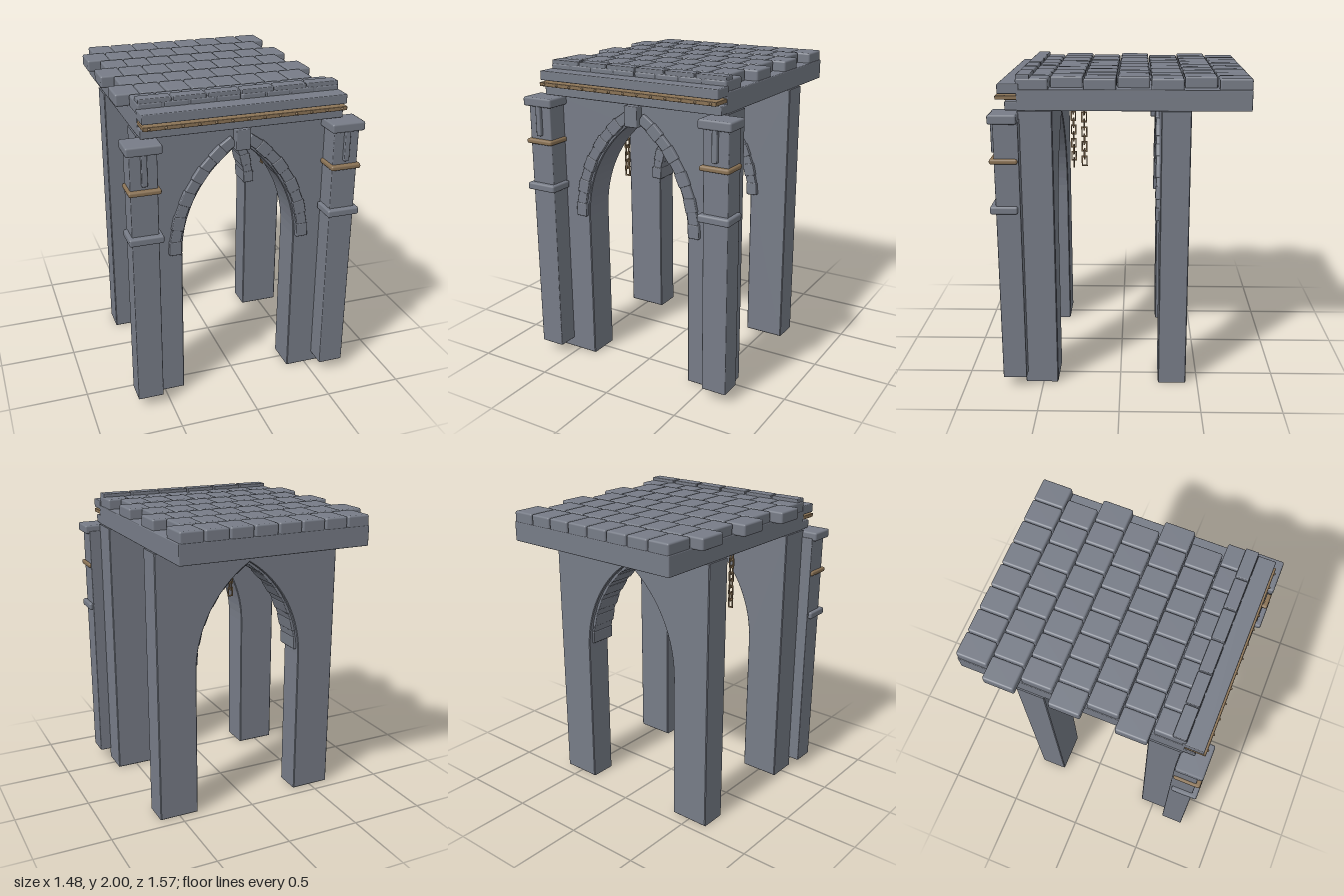
import * as THREE from 'three';
import { RoundedBoxGeometry } from 'three/addons/geometries/RoundedBoxGeometry.js';

const stone = new THREE.MeshStandardMaterial({ color: 0x777c87 });
stone.name = 'greyStone';
const bronze = new THREE.MeshStandardMaterial({ color: 0x8b7355 });
bronze.name = 'bronze';

function add(parent, name, geometry, material, x = 0, y = 0, z = 0) {
  const mesh = new THREE.Mesh(geometry, material);
  mesh.name = name;
  mesh.position.set(x, y, z);
  parent.add(mesh);
  return mesh;
}

// Block given by its limits, with a small chamfer
function block(parent, name, [x0, x1], [y0, y1], [z0, z1], material = stone, r = 0.006) {
  const g = new RoundedBoxGeometry(x1 - x0, y1 - y0, z1 - z0, 1, r);
  return add(parent, name, g, material, (x0 + x1) / 2, (y0 + y1) / 2, (z0 + z1) / 2);
}

// Pointed arch: each half is an arc centred across the opening at springing height
const ARC_X = 0.425, ARC_Y = 1.0, OPEN_R = 0.795;

function archWall(parent, name, z0, z1) {
  const s = new THREE.Shape();
  s.moveTo(-0.635, 0);
  s.lineTo(-0.37, 0);
  s.lineTo(-0.37, ARC_Y);
  const end = Math.acos(ARC_X / OPEN_R), n = 14;
  for (let i = 1; i <= n; i++) {
    const a = end * i / n;
    s.lineTo(ARC_X - OPEN_R * Math.cos(a), ARC_Y + OPEN_R * Math.sin(a));
  }
  for (let i = n - 1; i >= 0; i--) {
    const a = end * i / n;
    s.lineTo(-ARC_X + OPEN_R * Math.cos(a), ARC_Y + OPEN_R * Math.sin(a));
  }
  s.lineTo(0.37, 0);
  s.lineTo(0.635, 0);
  s.lineTo(0.635, 1.785);
  s.lineTo(-0.635, 1.785);
  s.closePath();
  const b = 0.005;
  const g = new THREE.ExtrudeGeometry(s, {
    depth: z1 - z0 - 2 * b, bevelEnabled: true, bevelThickness: b, bevelSize: b, bevelOffset: -b, bevelSegments: 1,
  });
  add(parent, name, g, stone, 0, 0, z0 + b);
}

// Voussoirs along both halves of the arch, and a keystone
function archStones(parent, name, { radius, count, from, to, length, z0, z1 }) {
  const group = new THREE.Group();
  group.name = name;
  parent.add(group);
  for (const side of [-1, 1]) {
    for (let i = 0; i < count; i++) {
      const a = THREE.MathUtils.degToRad(from + (to - from) * i / (count - 1));
      const width = i % 2 ? 0.066 : 0.076;
      const g = new RoundedBoxGeometry(width, length, z1 - z0 - (i % 2) * 0.006, 1, 0.006);
      const m = add(group, 'archStone', g, stone,
        side * (radius * Math.cos(a) - ARC_X), ARC_Y + radius * Math.sin(a), (z0 + z1) / 2);
      m.rotation.z = side * (a + (i % 2 ? 0.03 : -0.03));
    }
  }
  block(group, 'keystone', [-0.046, 0.046], [1.645, 1.775], [z0, z1 + 0.03]);
}

// Chain of rectangular links turned a quarter turn each
function linkGeometry() {
  const rect = (P, w, h) => {
    const p = new P();
    p.moveTo(-w, -h); p.lineTo(w, -h); p.lineTo(w, h); p.lineTo(-w, h); p.closePath();
    return p;
  };
  const s = rect(THREE.Shape, 0.019, 0.034);
  s.holes.push(rect(THREE.Path, 0.011, 0.025));
  return new THREE.ExtrudeGeometry(s, { depth: 0.009, bevelEnabled: false }).translate(0, 0, -0.0045);
}

function chain(parent, x, z, count) {
  const group = new THREE.Group();
  group.name = 'hangingChain';
  parent.add(group);
  const g = linkGeometry();
  for (let i = 0; i < count; i++) {
    add(group, 'chainLink', g, bronze, x, 1.736 - 0.0477 * i, z).rotation.y = i % 2 ? Math.PI / 2 : 0;
  }
}

export function createModel() {
  const model = new THREE.Group();
  model.name = 'stoneGateway';

  // Walls with their arches
  archWall(model, 'frontArchWall', 0.405, 0.615);
  archWall(model, 'rearArchWall', -0.425, -0.245);
  archStones(model, 'frontArchStones', { radius: 0.845, count: 10, from: 3, to: 53, length: 0.09, z0: 0.46, z1: 0.64 });
  archStones(model, 'rearArchStones', { radius: 0.815, count: 11, from: 5.5, to: 53, length: 0.085, z0: -0.40, z1: -0.22 });

  // Roof slab and staggered paving
  block(model, 'roofSlab', [-0.628, 0.628], [1.785, 1.912], [-0.782, 0.617]);
  const paving = new THREE.Group();
  paving.name = 'roofPaving';
  model.add(paving);
  const tile = new RoundedBoxGeometry(0.15, 0.076, 0.194, 2, 0.012);
  for (let row = 0; row < 7; row++) {
    for (let i = 0; i < 8; i++) {
      const x = -0.549 + 0.1565 * i - (row % 2 ? 0.08 : 0);
      add(paving, 'pavingTile', tile, stone, x, 1.941 + (row % 2 ? 0.001 : -0.001), -0.685 + 0.2015 * row);
    }
  }

  // Front parapet blocks
  for (let i = 0; i < 6; i++) {
    const x = -0.52 + 0.208 * i;
    block(model, 'parapetBlock', [x - 0.099, x + 0.099], [1.91, 2.0], [0.536, 0.618]);
  }

  // Cornice: lower ledge, riveted bronze strip, upper ledge
  block(model, 'lowerCornice', [-0.628, 0.628], [1.788, 1.842], [0.6, 0.687]);
  block(model, 'upperCornice', [-0.628, 0.628], [1.886, 1.945], [0.6, 0.73]);
  block(model, 'corniceStrip', [-0.625, 0.625], [1.851, 1.876], [0.6, 0.743], bronze, 0.004);
  const rivet = new THREE.SphereGeometry(0.008, 10, 6);
  for (let i = 0; i < 13; i++) {
    add(model, 'corniceRivet', rivet, bronze, -0.59 + 0.0983 * i, 1.8635, 0.744);
  }

  // Corner pillars on both sides of the front
  for (const side of [-1, 1]) {
    const pillar = new THREE.Group();
    pillar.name = side > 0 ? 'leftPillar' : 'rightPillar';
    model.add(pillar);
    const c = side * 0.63;
    const span = (h) => [c - h, c + h];
    block(pillar, 'pillarShaft', span(0.082), [0.068, 1.74], [0.6, 0.75]);
    block(pillar, 'pillarCapital', span(0.108), [1.722, 1.78], [0.605, 0.778], stone, 0.012);
    block(pillar, 'pillarBand', span(0.105), [1.172, 1.22], [0.615, 0.784], stone, 0.012);
    block(pillar, 'pillarBronzeRing', span(0.098), [1.48, 1.512], [0.608, 0.778], bronze, 0.012);
    block(pillar, 'pillarBracket', span(0.017), [1.535, 1.735], [0.74, 0.774]);
  }

  // Chains under the roof
  chain(model, -0.247, 0.347, 11);
  chain(model, 0.295, 0.236, 8);

  return model;
}
